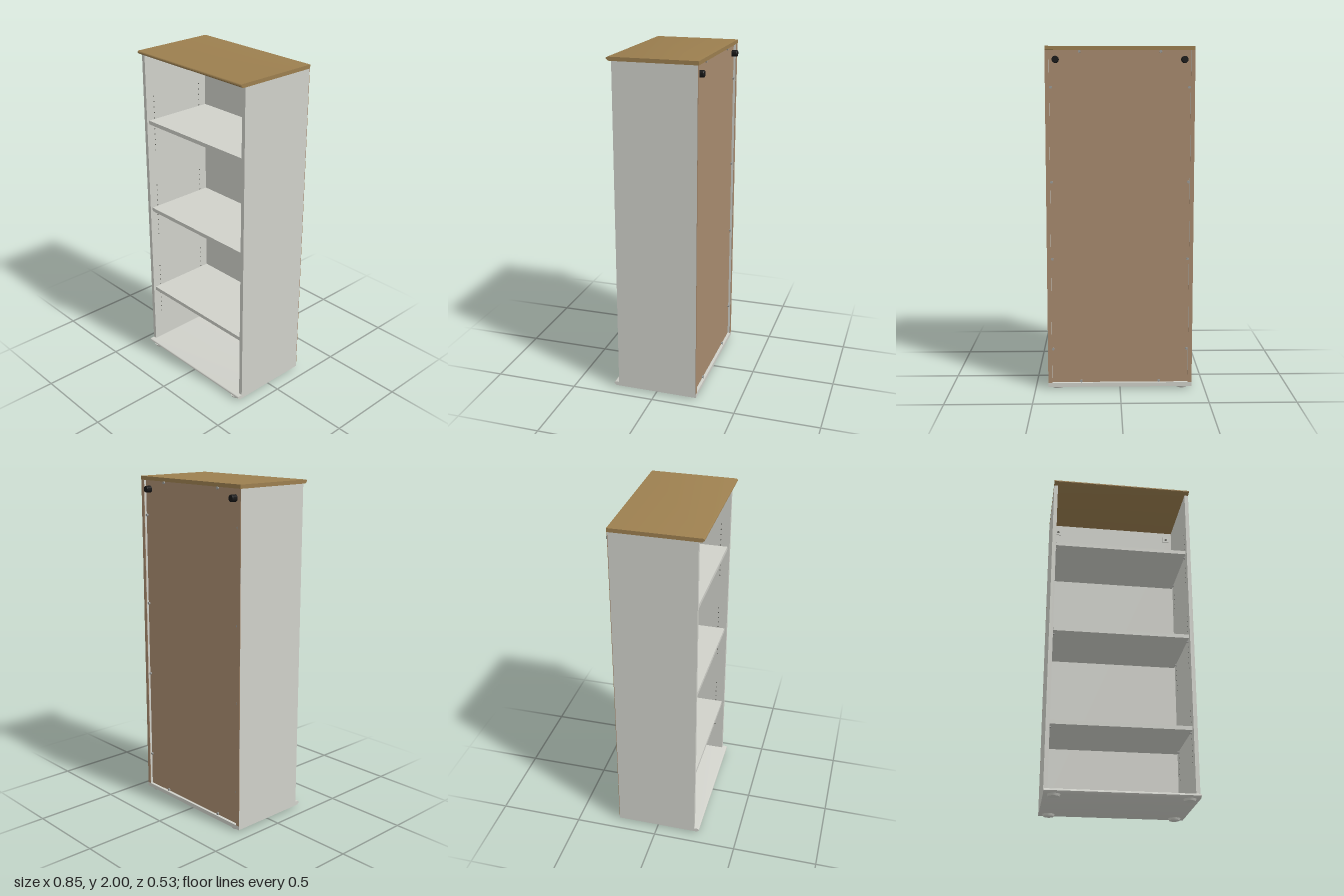
import * as THREE from 'three';
import { toCreasedNormals } from 'three/addons/utils/BufferGeometryUtils.js';

const mat = (name, color) => {
  const m = new THREE.MeshStandardMaterial({ color });
  m.name = name;
  return m;
};

export function createModel() {
  const grey = mat('light grey laminate', 0xd0d1ca);
  const wood = mat('oak laminate', 0x9c7f4f);
  const raw = mat('raw board', 0xa88b6f);
  const black = mat('black plastic', 0x161616);
  const metal = mat('metal', 0x9a9b98);
  const dark = mat('drill hole', 0x55564f);

  const model = new THREE.Group();
  model.name = 'bookcase';
  const add = (name, geo, material, x = 0, y = 0, z = 0, parent = model) => {
    const m = new THREE.Mesh(geo, material);
    m.name = name;
    m.position.set(x, y, z);
    parent.add(m);
    return m;
  };
  // box given by its minimum and maximum corners
  const box = (name, material, x0, x1, y0, y1, z0, z1) =>
    add(name, new THREE.BoxGeometry(x1 - x0, y1 - y0, z1 - z0), material,
      (x0 + x1) / 2, (y0 + y1) / 2, (z0 + z1) / 2);

  const W = 0.425, IN = 0.402, BACK = -0.25;

  // top and base boards with a rounded front edge
  const board = (name, material, y0, y1, back) => {
    const h = y1 - y0;
    const s = new THREE.Shape();
    s.moveTo(back, 0);
    s.lineTo(0.25, 0);
    s.quadraticCurveTo(0.258, h * 0.15, 0.265, h * 0.5);
    s.quadraticCurveTo(0.266, h * 0.95, 0.254, h);
    s.lineTo(back, h);
    s.closePath();
    const g = new THREE.ExtrudeGeometry(s, { depth: 2 * W, bevelEnabled: false, curveSegments: 6 });
    g.rotateY(-Math.PI / 2).translate(W, 0, 0);
    add(name, toCreasedNormals(g, 0.6), material, 0, y0, 0);
  };
  board('topBoard', wood, 1.978, 2, -0.252);
  board('baseBoard', grey, 0.012, 0.036, BACK);

  // adjustable shelves
  const shelves = [0.409, 0.98, 1.552];
  for (const y of shelves) box('shelf', grey, -0.4, 0.398, y, y + 0.023, -0.222, 0.222);

  // recessed back panel, grey inside and raw outside
  box('backPanelInside', grey, -IN, IN, 0.036, 1.978, -0.228, -0.223);
  box('backPanelOutside', raw, -IN, IN, 0.036, 1.978, -0.233, -0.228);

  const holeGeo = new THREE.CylinderGeometry(0.0035, 0.0035, 0.002, 8).rotateZ(Math.PI / 2);
  const pinGeo = new THREE.CylinderGeometry(0.005, 0.005, 0.012, 8).rotateZ(Math.PI / 2);
  const clipGeo = new THREE.CylinderGeometry(0.008, 0.008, 0.01, 10).rotateX(Math.PI / 2);
  const footGeo = new THREE.CylinderGeometry(0.036, 0.03, 0.012, 24);
  const footRing = new THREE.TorusGeometry(0.02, 0.003, 6, 24).rotateX(Math.PI / 2);
  const knobGeo = new THREE.LatheGeometry([
    [0, 0], [0.02, 0], [0.02, 0.029], [0.017, 0.034], [0, 0.034],
  ].map(([r, y]) => new THREE.Vector2(r, y)), 16).rotateX(-Math.PI / 2);

  for (const s of [-1, 1]) {
    // side panel with raw back edge
    const a = s < 0 ? -W : IN, b = s < 0 ? -IN : W;
    box('sidePanel', grey, a, b, 0.036, 1.978, BACK + 0.003, 0.235);
    box('sideBackEdge', raw, a, b, 0.036, 1.978, BACK, BACK + 0.003);

    // shelf pins and rows of drilled holes
    for (const z of [0.18, -0.17]) {
      for (const y of shelves) {
        add('shelfPin', pinGeo, metal, s * (IN - 0.005), y - 0.005, z);
        for (let i = -5; i <= 5; i++)
          if (i) add('pinHole', holeGeo, dark, s * (IN - 0.0005), y - 0.005 + i * 0.034, z);
      }
    }

    // wall fixing: knob behind, square plate and bolt inside
    add('wallKnob', toCreasedNormals(knobGeo, 0.5), black, s * 0.365, 1.925, -0.233);
    box('fixingPlate', grey, s * 0.365 - 0.02, s * 0.365 + 0.02, 1.905, 1.945, -0.223, -0.217);
    add('fixingBolt', clipGeo, dark, s * 0.365, 1.925, -0.22);

    // clips that hold the back panel
    for (const y of [0.24, 0.78, 1.23, 1.77])
      add('panelClip', clipGeo, metal, s * (IN - 0.008), y, -0.237);
    for (const y of [0.044, 1.97])
      add('panelClip', clipGeo, metal, s * 0.23, y, -0.237);

    // feet
    for (const z of [0.225, -0.21]) {
      add('foot', footGeo, grey, s * 0.368, 0.006, z);
      add('footRing', footRing, metal, s * 0.368, 0.003, z);
    }
  }
  return model;
}
